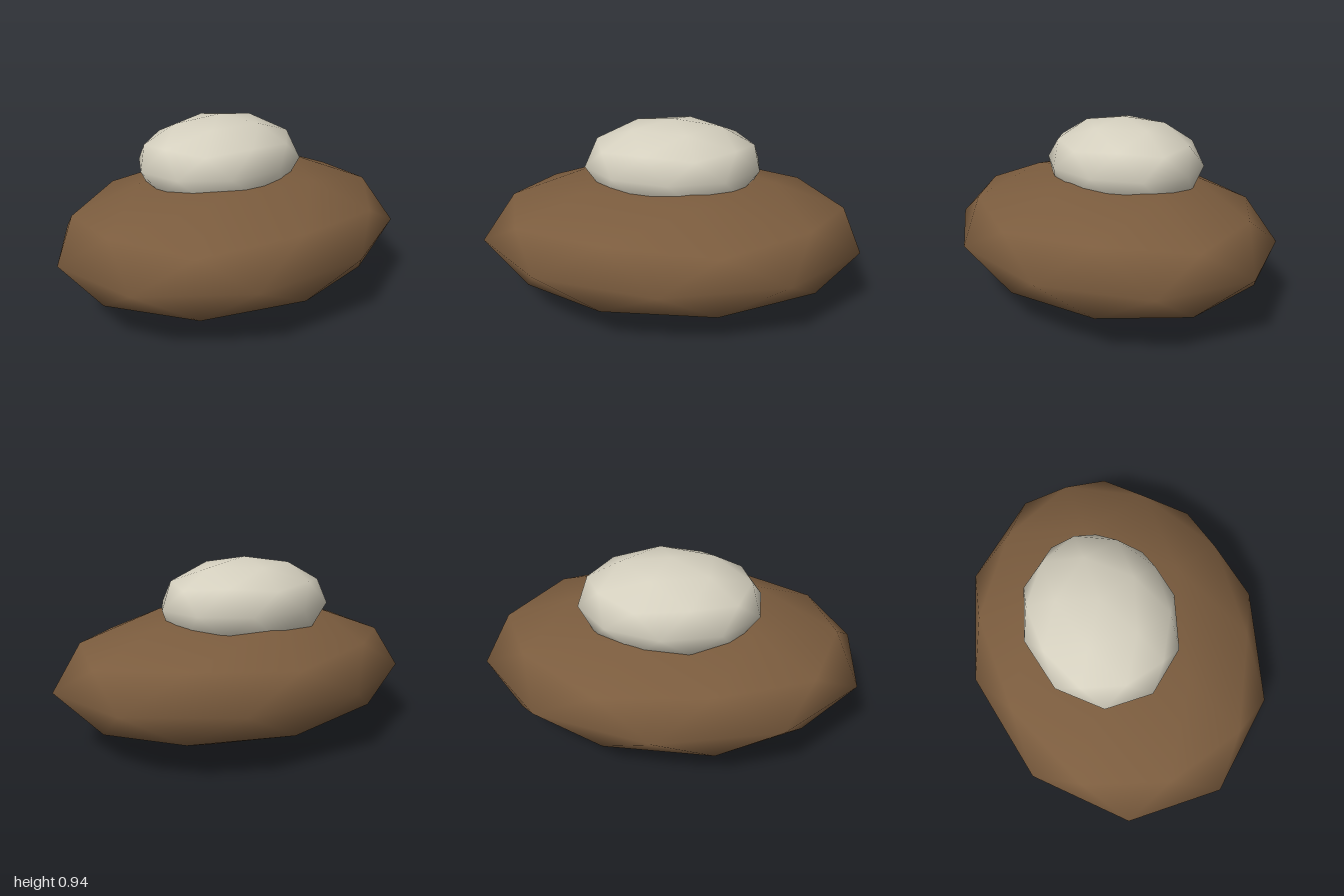
import * as THREE from 'three';

const brown = new THREE.MeshStandardMaterial({ color: 0x7b5c3e });
brown.name = 'brown';
const cream = new THREE.MeshStandardMaterial({ color: 0xd5d0bf });
cream.name = 'cream';

// Low-poly icosphere with a corner at each pole, squashed to the given radii
function ellipsoid(name, material, radii, centre) {
  const geometry = new THREE.IcosahedronGeometry(1, 1);
  const golden = (1 + Math.sqrt(5)) / 2;
  geometry.rotateZ(-Math.atan(1 / golden));
  geometry.scale(...radii);
  const mesh = new THREE.Mesh(geometry, material);
  mesh.name = name;
  mesh.position.set(...centre);
  return mesh;
}

export function createModel() {
  const model = new THREE.Group();
  model.name = 'model';
  // Wide flattened base
  model.add(ellipsoid('base', brown, [1.0515, 0.335, 0.829], [0, 0.335, 0]));
  // Smaller dome sunk into the top, slightly to the back
  model.add(ellipsoid('topDome', cream, [0.498, 0.247, 0.414], [0, 0.695, -0.084]));
  return model;
}
